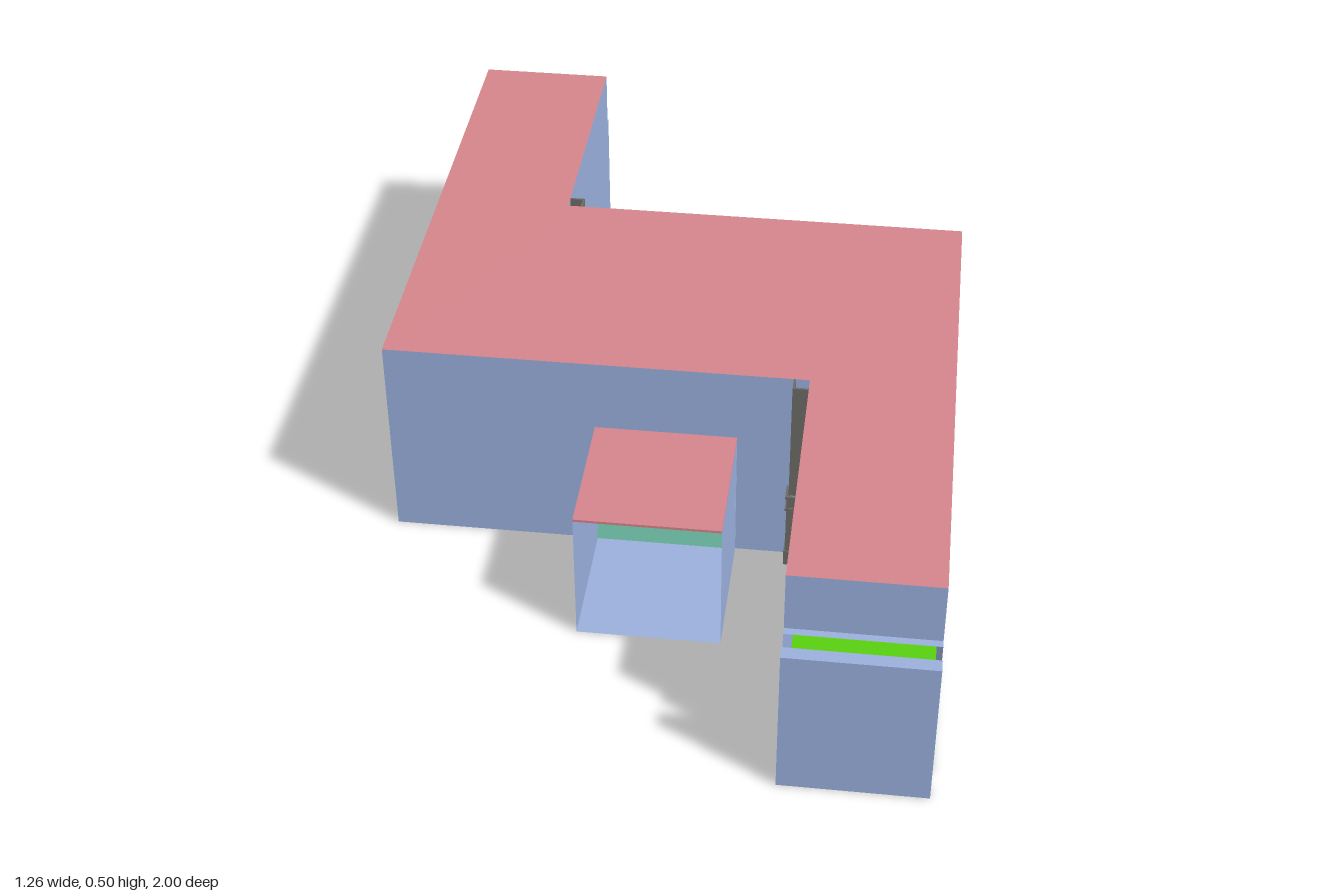
import * as THREE from 'three';

const makeMaterial = (name, color) => {
  const m = new THREE.MeshStandardMaterial({ color, side: THREE.DoubleSide });
  m.name = name;
  return m;
};

export function createModel() {
  const blue = makeMaterial('wall blue', 0x9ab0dd);
  const red = makeMaterial('ceiling red', 0xd5858c);
  const green = makeMaterial('floor green', 0x58d010);
  const mint = makeMaterial('door mint', 0x7fdabf);
  const grey = makeMaterial('trim grey', 0x6e6b67);

  const model = new THREE.Group();
  model.name = 'corridorBuilding';

  const add = (parent, name, geometry, material, x = 0, y = 0, z = 0) => {
    const mesh = new THREE.Mesh(geometry, material);
    mesh.name = name;
    mesh.position.set(x, y, z);
    parent.add(mesh);
    return mesh;
  };

  // Box given by its limits on each axis
  const block = (parent, name, material, [x0, x1], [y0, y1], [z0, z1]) =>
    add(parent, name, new THREE.BoxGeometry(x1 - x0, y1 - y0, z1 - z0), material,
      (x0 + x1) / 2, (y0 + y1) / 2, (z0 + z1) / 2);

  // Upright sheet between two points on the plan (x, z)
  const wall = (name, [ax, az], [bx, bz], y0, y1) => {
    const dx = bx - ax, dz = bz - az;
    const mesh = add(model, name, new THREE.PlaneGeometry(Math.hypot(dx, dz), y1 - y0), blue,
      (ax + bx) / 2, (y0 + y1) / 2, (az + bz) / 2);
    mesh.rotation.y = Math.atan2(-dz, dx);
  };

  // Level sheet with a plan outline
  const slab = (name, points, y, material) => {
    const shape = new THREE.Shape(points.map(([x, z]) => new THREE.Vector2(x, z)));
    add(model, name, new THREE.ShapeGeometry(shape).rotateX(Math.PI / 2), material, 0, y, 0);
  };

  const H = 0.5, DOOR = 0.36, OUT = 0.632, IN = 0.316;
  const BACK = -0.985, FRONT = 0.915;

  // Z-shaped corridor: two wall runs, floor and ceiling
  const plan = (back, front) => [
    [[-IN, back], [-IN, -0.35], [OUT, -0.35], [OUT, front]],
    [[-OUT, back], [-OUT, 0.28], [IN, 0.28], [IN, front]],
  ];
  const runs = plan(BACK, FRONT);
  for (const run of runs)
    for (let i = 0; i < 3; i++) wall('corridorWall', run[i], run[i + 1], 0, H);
  const outline = ([a, b]) => [...a, ...b.slice().reverse()];
  slab('ceiling', outline(runs), H, red);
  slab('floor', outline(plan(-1, 0.932)), 0, green);

  // Open doorways at both ends: lintel, then a low projecting collar
  for (const [name, x0, x1, z, end] of [
    ['back', -OUT, -IN, BACK, -1],
    ['front', IN, OUT, FRONT, 0.932],
  ]) {
    wall(name + 'Lintel', [x0, z], [x1, z], DOOR, H);
    for (const x of [x0, x1]) wall(name + 'DoorJamb', [x, z], [x, end], 0, DOOR);
    slab(name + 'DoorHead', [[x0, z], [x1, z], [x1, end], [x0, end]], DOOR, blue);
  }

  // Free-standing panel in front of the front doorway
  block(model, 'doorPanel', blue, [IN, OUT], [0, DOOR], [0.97, 1]);

  // Porch, open at the front, with a door at its back
  const P = 0.16, porchTop = 0.32;
  for (const x of [-P, P]) wall('porchWall', [x, 0.28], [x, 0.6], 0, porchTop);
  slab('porchFloor', [[-P, 0.28], [P, 0.28], [P, 0.6], [-P, 0.6]], 0.001, blue);
  block(model, 'porchRoof', red, [-P, P], [porchTop, 0.326], [0.28, 0.6]);
  block(model, 'porchDoor', mint, [-P, P], [0.002, porchTop], [0.276, 0.285]);

  // Hollow corner trims: stacked L-shaped sections, as [bottom, top, width]
  const sections = [
    [0, 0.04, 0.042], [0.04, 0.16, 0.039], [0.16, 0.167, 0.042],
    [0.167, 0.193, 0.039], [0.193, 0.2, 0.042], [0.2, H, 0.035],
  ];
  const T = 0.005;
  for (const [x, z, turn] of [[IN, 0.28, 0], [-IN, -0.35, Math.PI]]) {
    const trim = new THREE.Group();
    trim.name = 'cornerTrim';
    trim.position.set(x, 0, z);
    trim.rotation.y = turn;
    for (const [y0, y1, w] of sections) {
      block(trim, 'trimSide', grey, [-w, -w + T], [y0, y1], [0, w]);
      block(trim, 'trimFace', grey, [-w + T, 0], [y0, y1], [w - T, w]);
    }
    model.add(trim);
  }

  return model;
}
